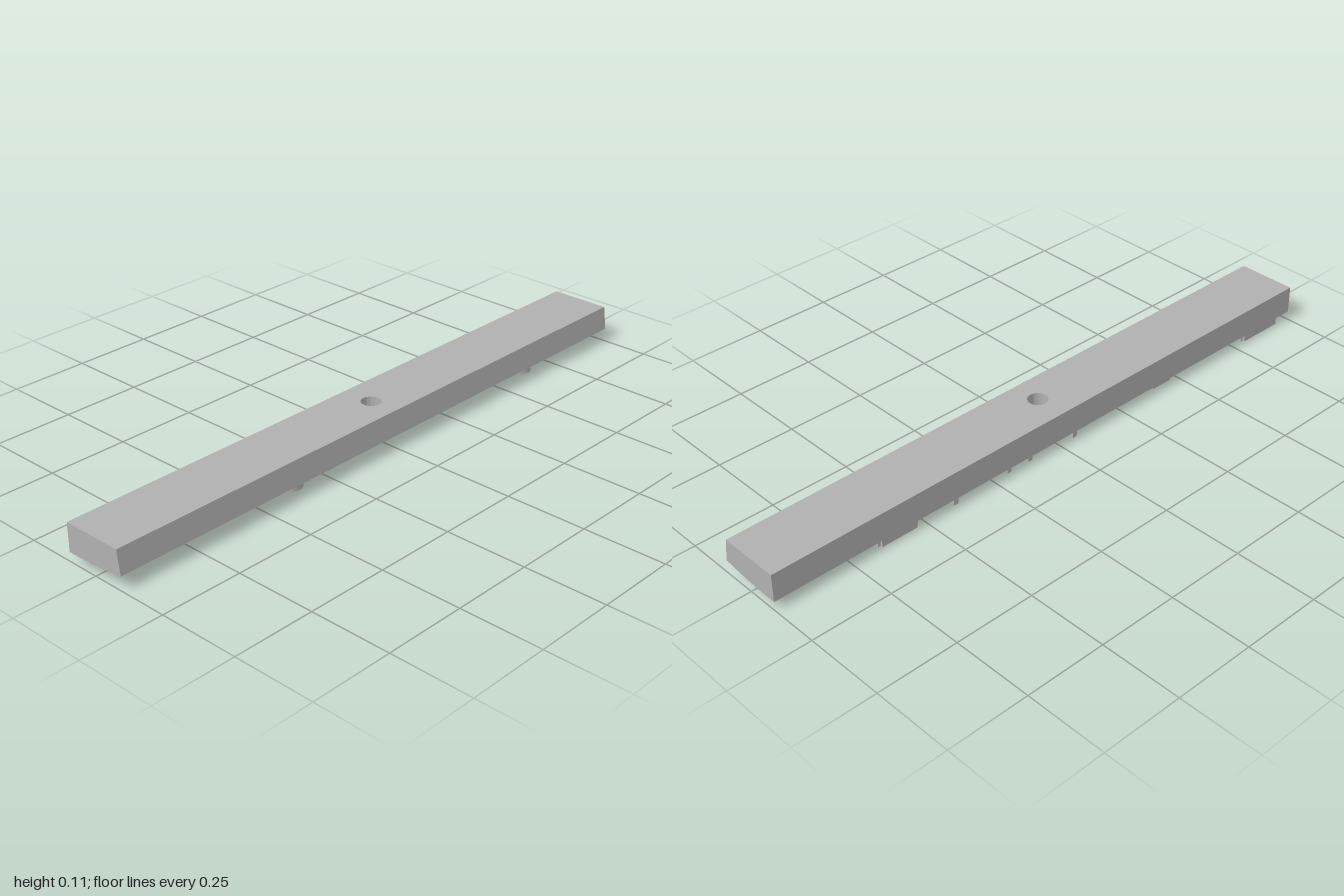
import * as THREE from 'three';
import { toCreasedNormals } from 'three/addons/utils/BufferGeometryUtils.js';

const TOP = 0.115, HOLE = 0.03, RELIEF = 0.028;
// Height of the gently curved underside at x
const under = (x) => 0.028 + 0.35 * (x + 0.1) ** 2;

// Bar with a vertical hole: closed loops from the hole top, round the outside, back to the hole bottom
function barGeometry() {
  const n = 14, count = n * 4, rings = 8;
  const corners = [[1, 1], [-1, 1], [-1, -1], [1, -1]];
  const outline = [], circle = [];
  for (let i = 0; i < count; i++) {
    const k = Math.floor(i / n), t = (i % n) / n;
    const a = corners[k], b = corners[(k + 1) % 4];
    outline.push([a[0] + (b[0] - a[0]) * t, a[1] + (b[1] - a[1]) * t]);
    const angle = Math.PI / 4 + (i / count) * Math.PI * 2;
    circle.push([Math.cos(angle) * HOLE, Math.sin(angle) * HOLE]);
  }
  const loops = [
    circle.map(([x, z]) => [x, TOP, z]),
    outline.map(([u, z]) => [-0.1 + 0.095 * (u + 1), TOP, z]),
  ];
  for (let r = 0; r <= rings; r++) {
    const t = r / rings;
    loops.push(outline.map(([u, z], i) => {
      const x = THREE.MathUtils.lerp(0.1 * u, circle[i][0], t);
      return [x, under(x), THREE.MathUtils.lerp(z, circle[i][1], t)];
    }));
  }
  const index = [], total = loops.length;
  for (let s = 0; s < total; s++) {
    for (let i = 0; i < count; i++) {
      const s2 = (s + 1) % total, j = (i + 1) % count;
      const a = s * count + i, b = s * count + j, c = s2 * count + i, d = s2 * count + j;
      index.push(a, b, c, b, d, c);
    }
  }
  const geometry = new THREE.BufferGeometry();
  geometry.setAttribute('position', new THREE.Float32BufferAttribute(loops.flat(2), 3));
  geometry.setIndex(index);
  return toCreasedNormals(geometry, 0.5);
}

// Extrude a plan shape (x, -z) and bend it to follow the underside
function reliefGeometry(shape) {
  const geometry = new THREE.ExtrudeGeometry(shape, { depth: RELIEF + 0.004, bevelEnabled: false, curveSegments: 20 });
  geometry.rotateX(-Math.PI / 2);
  const p = geometry.attributes.position;
  for (let i = 0; i < p.count; i++) p.setY(i, p.getY(i) + under(p.getX(i)) - RELIEF);
  return toCreasedNormals(geometry, 0.5);
}

// Straight rib between two plan points
function ribShape(x0, z0, x1, z1, width = 0.016) {
  const a = new THREE.Vector2(x0, -z0), b = new THREE.Vector2(x1, -z1);
  const d = b.clone().sub(a).normalize();
  const side = new THREE.Vector2(-d.y, d.x).multiplyScalar(width / 2);
  return new THREE.Shape([a.clone().sub(side), b.clone().sub(side), b.clone().add(side), a.clone().add(side)]);
}

// Round raised ring
function ringShape(x, z, radius, width = 0.014) {
  const shape = new THREE.Shape().absarc(x, -z, radius, 0, Math.PI * 2, false);
  shape.holes.push(new THREE.Path().absarc(x, -z, radius - width, 0, Math.PI * 2, true));
  return shape;
}

export function createModel() {
  const model = new THREE.Group();
  const grey = new THREE.MeshStandardMaterial({ color: 0xb0b0b0 });
  grey.name = 'plain grey';

  const add = (name, geometry) => {
    const mesh = new THREE.Mesh(geometry, grey);
    mesh.name = name;
    model.add(mesh);
  };
  add('bar', barGeometry());

  // Raised ribs on the underside: x0, z0, x1, z1
  const ribs = [
    [0.005, -0.94, 0.025, -0.94],
    [-0.085, -0.53, -0.085, -0.65], [-0.06, -0.53, -0.085, -0.53], [-0.06, -0.65, -0.085, -0.65],
    [0.01, -0.35, -0.05, -0.475], [-0.05, -0.39, -0.09, -0.39],
    [0.005, -0.1, 0.005, -0.195], [0.005, -0.11, -0.085, -0.11],
    [0.0, -0.19, -0.085, -0.19], [-0.04, -0.11, -0.04, -0.19],
    [-0.01, 0.06, -0.09, 0.06], [-0.01, 0.095, -0.07, 0.095], [-0.01, 0.13, -0.07, 0.13],
    [-0.05, 0.15, -0.05, 0.225],
    [-0.06, 0.24, -0.06, 0.32], [-0.07, 0.4, -0.07, 0.475],
    [-0.06, 0.52, -0.06, 0.655],
    [-0.03, 0.8, -0.03, 0.95], [-0.085, 0.8, -0.085, 0.95], [-0.03, 0.8, -0.085, 0.8],
  ];
  ribs.forEach((r) => add('undersideRib', reliefGeometry(ribShape(...r))));

  // Pairs of raised rings: a large one beside a smaller one
  for (const z of [-0.625, 0.37]) {
    add('largeRing', reliefGeometry(ringShape(0.042, z, 0.038)));
    add('smallRing', reliefGeometry(ringShape(-0.022, z, 0.028)));
  }
  return model;
}
